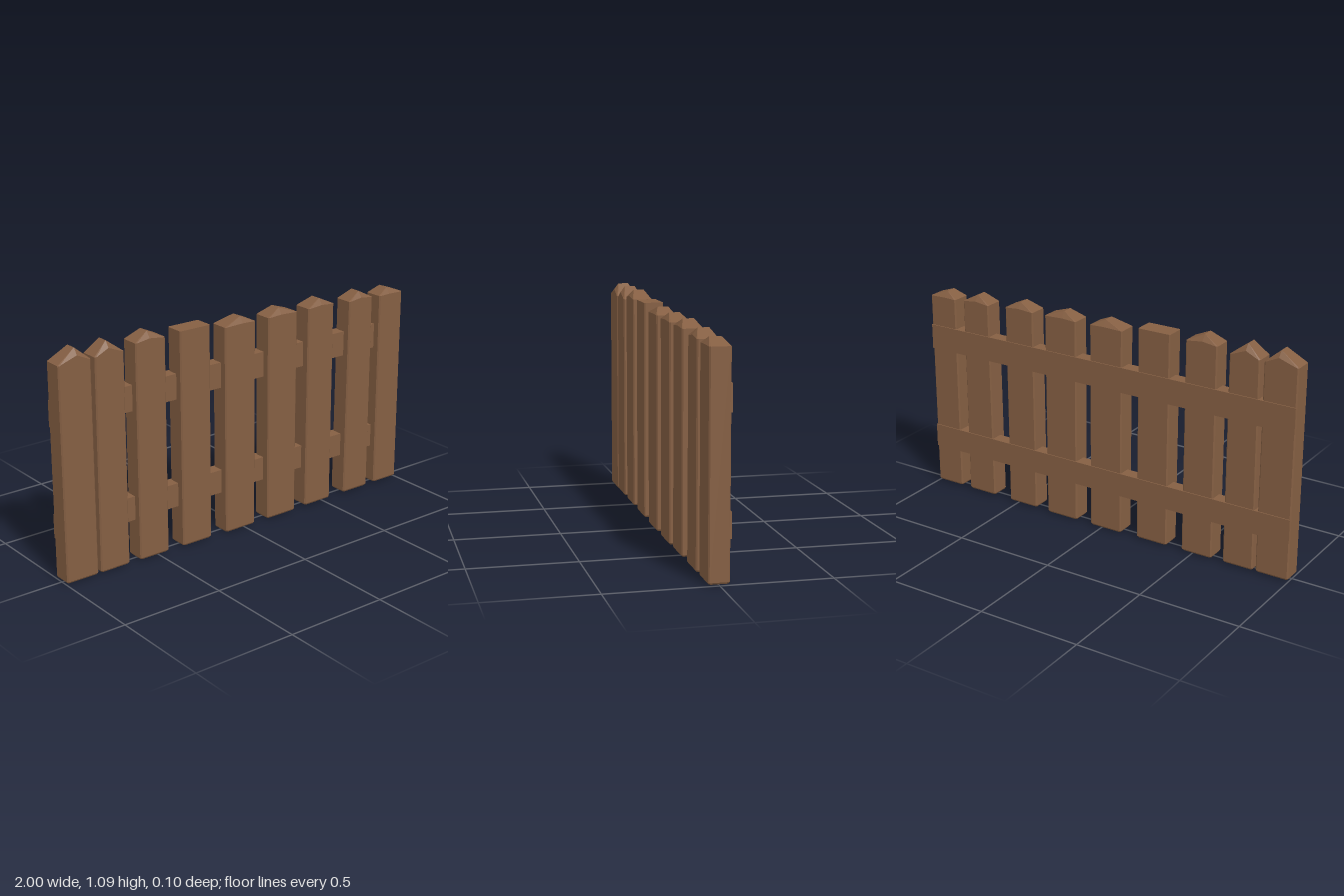
import * as THREE from 'three';

const FRONT = 0.05, BACK = -0.045, BEVEL = 0.006;

// left, right, shoulder height, peak height, peak x, bottom left
const PICKETS = [
  [-1.0, -0.835, 1.03, 1.09, -0.905, -1.0, 0.008],
  [-0.815, -0.665, 1.03, 1.09, -0.745, -0.82, 0.008],
  [-0.605, -0.445, 1.05, 1.09, -0.53, -0.605, 0.006],
  [-0.365, -0.197, 1.058, 1.058, -0.28, -0.362, 0.004],
  [-0.112, 0.065, 1.025, 1.058, -0.01, -0.108, 0],
  [0.143, 0.318, 1.022, 1.056, 0.22, 0.145, 0],
  [0.388, 0.548, 1.02, 1.056, 0.47, 0.385, 0.004],
  [0.65, 0.8, 1.007, 1.046, 0.725, 0.642, 0.005],
  [0.85, 1.0, 1.0, 1.032, 0.912, 0.85, 0.006],
];

// Ten-point board cross-section with chamfered corners, front centre first
function ring(x0, x1, mid, inset, yCorner, yMid) {
  const c = BEVEL, l = x0 + inset, r = x1 - inset, f = FRONT - inset, b = BACK + inset;
  return [
    [mid, yMid, f], [r - c, yCorner, f], [r, yCorner, f - c], [r, yCorner, b + c], [r - c, yCorner, b],
    [mid, yMid, b], [l + c, yCorner, b], [l, yCorner, b + c], [l, yCorner, f - c], [l + c, yCorner, f],
  ];
}

// Board with bevelled foot and a hipped, pointed top
function picketGeometry([x0, x1, shoulder, peak, px, foot, y0]) {
  const n = 10, gable = Math.max(shoulder, peak - 0.03);
  const rings = [
    ring(foot, x1, px, 0.005, y0, y0),
    ring(foot, x1, px, 0, y0 + 0.008, y0 + 0.008),
    ring(x0, x1, px, 0, shoulder, gable),
  ];
  const pos = [];
  const tri = (a, b, c) => pos.push(...a, ...b, ...c);
  for (let k = 0; k < 2; k++) {
    for (let i = 0; i < n; i++) {
      const j = (i + 1) % n, lo = rings[k], hi = rings[k + 1];
      tri(lo[i], lo[j], hi[j]);
      tri(lo[i], hi[j], hi[i]);
    }
  }
  // Foot
  for (let i = 1; i < n - 1; i++) tri(rings[0][0], rings[0][i + 1], rings[0][i]);
  // Hipped top around a short ridge
  const F = [px, peak, 0.028], B = [px, peak, -0.023], top = rings[2];
  for (let i = 0; i < n; i++) {
    const a = top[i], b = top[(i + 1) % n];
    if (i === 2) { tri(a, b, B); tri(a, B, F); }
    else if (i === 7) { tri(a, b, F); tri(a, F, B); }
    else tri(a, b, i > 2 && i < 7 ? B : F);
  }
  const geo = new THREE.BufferGeometry();
  geo.setAttribute('position', new THREE.Float32BufferAttribute(pos, 3));
  geo.computeVertexNormals();
  return geo;
}

export function createModel() {
  const fence = new THREE.Group();
  fence.name = 'picketFence';
  const wood = new THREE.MeshStandardMaterial({ color: 0x855f43, flatShading: true });
  wood.name = 'brown wood';

  PICKETS.forEach((p, i) => {
    const picket = new THREE.Mesh(picketGeometry(p), wood);
    picket.name = `picket${i + 1}`;
    fence.add(picket);
  });

  // Cross rails along the back
  for (const [name, y0, y1] of [['lowerRail', 0.198, 0.314], ['upperRail', 0.727, 0.85]]) {
    const rail = new THREE.Mesh(new THREE.BoxGeometry(1.996, y1 - y0, 0.064), wood);
    rail.name = name;
    rail.position.set(0, (y0 + y1) / 2, -0.018);
    fence.add(rail);
  }
  return fence;
}
